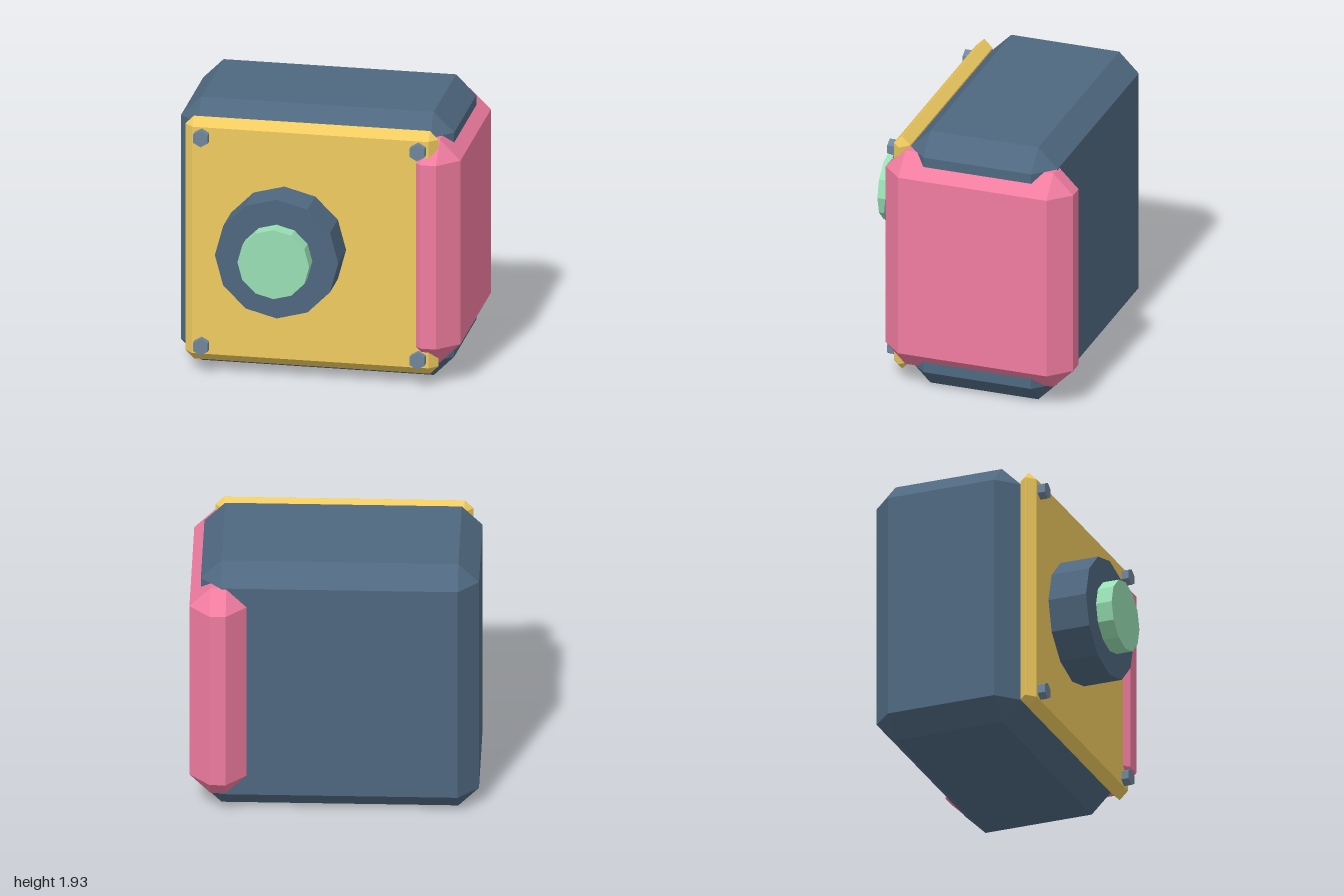
import * as THREE from 'three';
import { ConvexGeometry } from 'three/addons/geometries/ConvexGeometry.js';

const paint = (color) => new THREE.MeshStandardMaterial({ color, flatShading: true });

// Box between two corners, with every edge chamfered by c and every corner cut to a triangle
function chamferedBox(name, min, max, c, material) {
  const points = [];
  for (const sx of [0, 1]) for (const sy of [0, 1]) for (const sz of [0, 1]) {
    const side = [sx, sy, sz];
    for (let face = 0; face < 3; face++) {
      const p = side.map((s, i) => {
        const inset = i === face ? 0 : c;
        return s ? max[i] - inset : min[i] + inset;
      });
      points.push(new THREE.Vector3(...p));
    }
  }
  const mesh = new THREE.Mesh(new ConvexGeometry(points), material);
  mesh.name = name;
  return mesh;
}

// Faceted cylinder lying along z from z0 to z1
function frontCylinder(name, x, y, z0, z1, radius, sides, material) {
  const mesh = new THREE.Mesh(new THREE.CylinderGeometry(radius, radius, z1 - z0, sides), material);
  mesh.rotation.x = Math.PI / 2;
  mesh.position.set(x, y, (z0 + z1) / 2);
  mesh.name = name;
  return mesh;
}

export function createModel() {
  const model = new THREE.Group();
  model.name = 'chamferedDevice';
  const slate = paint(0x4f6880);
  const yellow = paint(0xf0cb60);
  const pink = paint(0xf07ca0);
  const green = paint(0x98e0b4);
  const steel = paint(0x70869c);

  // Main case, front plate and side panel
  model.add(chamferedBox('body', [-1, 0, -0.73], [0.925, 1.93, 0.35], 0.143, slate));
  model.add(chamferedBox('frontPlate', [-0.93, 0.08, 0.35], [0.855, 1.86, 0.472], 0.06, yellow));
  model.add(chamferedBox('sidePanel', [0.6, 0.15, -0.87], [1, 1.785, 0.51], 0.145, pink));

  // Round knob with its button
  model.add(frontCylinder('knob', -0.22, 0.97, 0.472, 0.753, 0.435, 12, slate));
  model.add(frontCylinder('button', -0.22, 0.97, 0.753, 0.87, 0.253, 12, green));

  // Hexagonal bolts at the plate corners
  const bolts = new THREE.Group();
  bolts.name = 'bolts';
  for (const x of [-0.802, 0.725]) for (const y of [0.205, 1.732]) {
    bolts.add(frontCylinder('bolt', x, y, 0.46, 0.527, 0.06, 6, steel));
  }
  model.add(bolts);
  return model;
}
